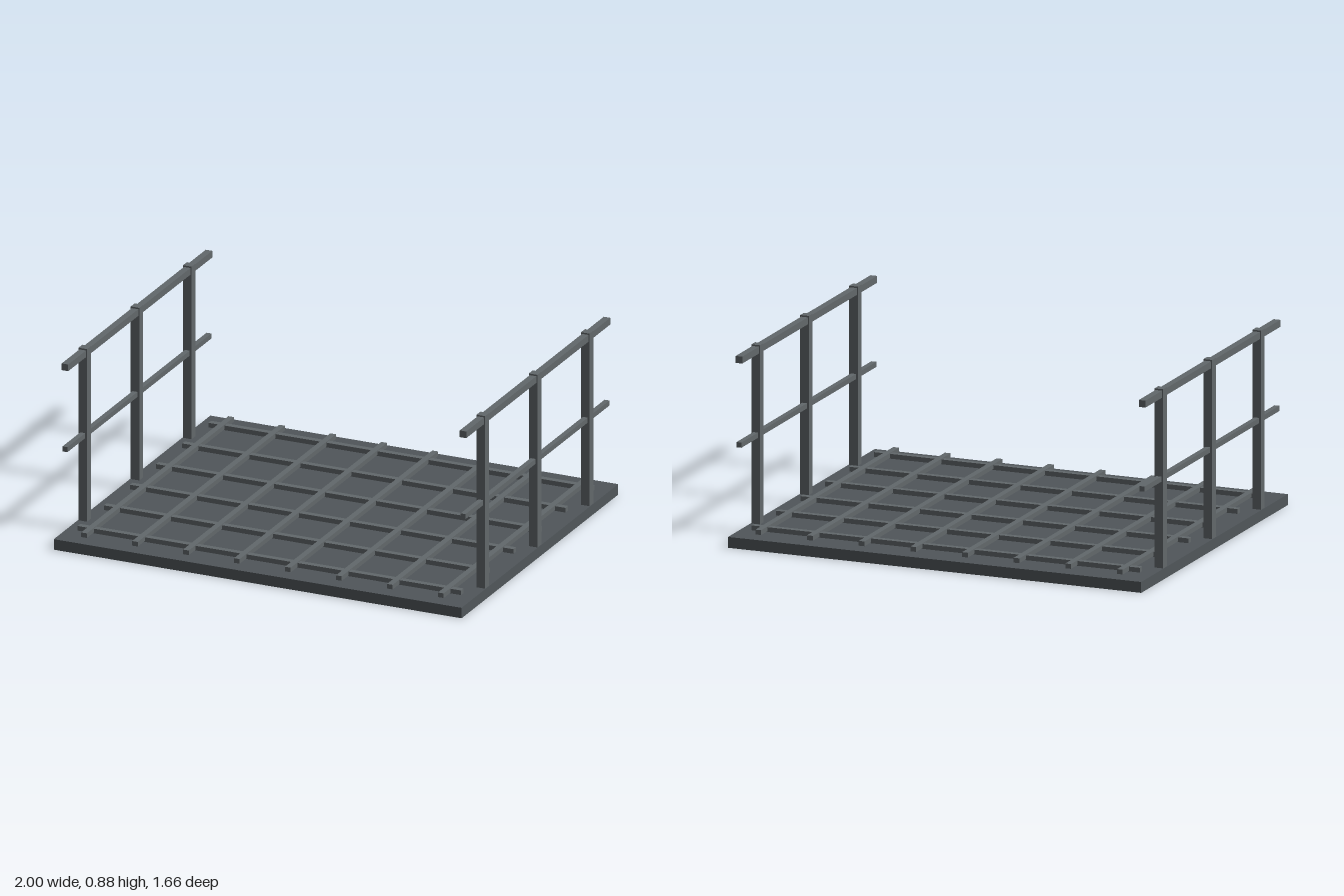
import * as THREE from 'three';

export function createModel() {
  const model = new THREE.Group();
  model.name = 'railedPlatform';
  const deckMaterial = new THREE.MeshStandardMaterial({ color: 0x50565a });
  const steelMaterial = new THREE.MeshStandardMaterial({ color: 0x62686b });

  function bar(parent, name, size, position, material = steelMaterial) {
    const mesh = new THREE.Mesh(new THREE.BoxGeometry(...size), material);
    mesh.name = name;
    mesh.position.set(...position);
    parent.add(mesh);
  }

  // Deck slab
  bar(model, 'deck', [2, 0.05, 1.664], [0, 0.025, 0], deckMaterial);

  // Grating: lengthwise bars riding slightly above the crosswise ones
  const grating = new THREE.Group();
  grating.name = 'grating';
  model.add(grating);
  for (let i = 0; i < 8; i++) {
    bar(grating, 'lengthwiseBar', [0.028, 0.022, 1.564], [-0.875 + i * 0.25, 0.072, 0]);
  }
  for (let i = 0; i < 6; i++) {
    bar(grating, 'crosswiseBar', [1.88, 0.022, 0.028], [0, 0.068, -0.694 + i * 0.2776]);
  }

  // Matching guardrails on both sides
  for (const side of [-1, 1]) {
    const guardrail = new THREE.Group();
    guardrail.name = side > 0 ? 'leftGuardrail' : 'rightGuardrail';
    guardrail.position.x = side * 0.976;
    model.add(guardrail);
    for (const z of [-0.555, 0, 0.555]) {
      bar(guardrail, 'post', [0.042, 0.825, 0.042], [0, 0.4625, z]);
    }
    bar(guardrail, 'topRail', [0.032, 0.032, 1.53], [0, 0.852, 0]);
    bar(guardrail, 'midRail', [0.024, 0.024, 1.53], [0, 0.46, 0]);
  }

  return model;
}
